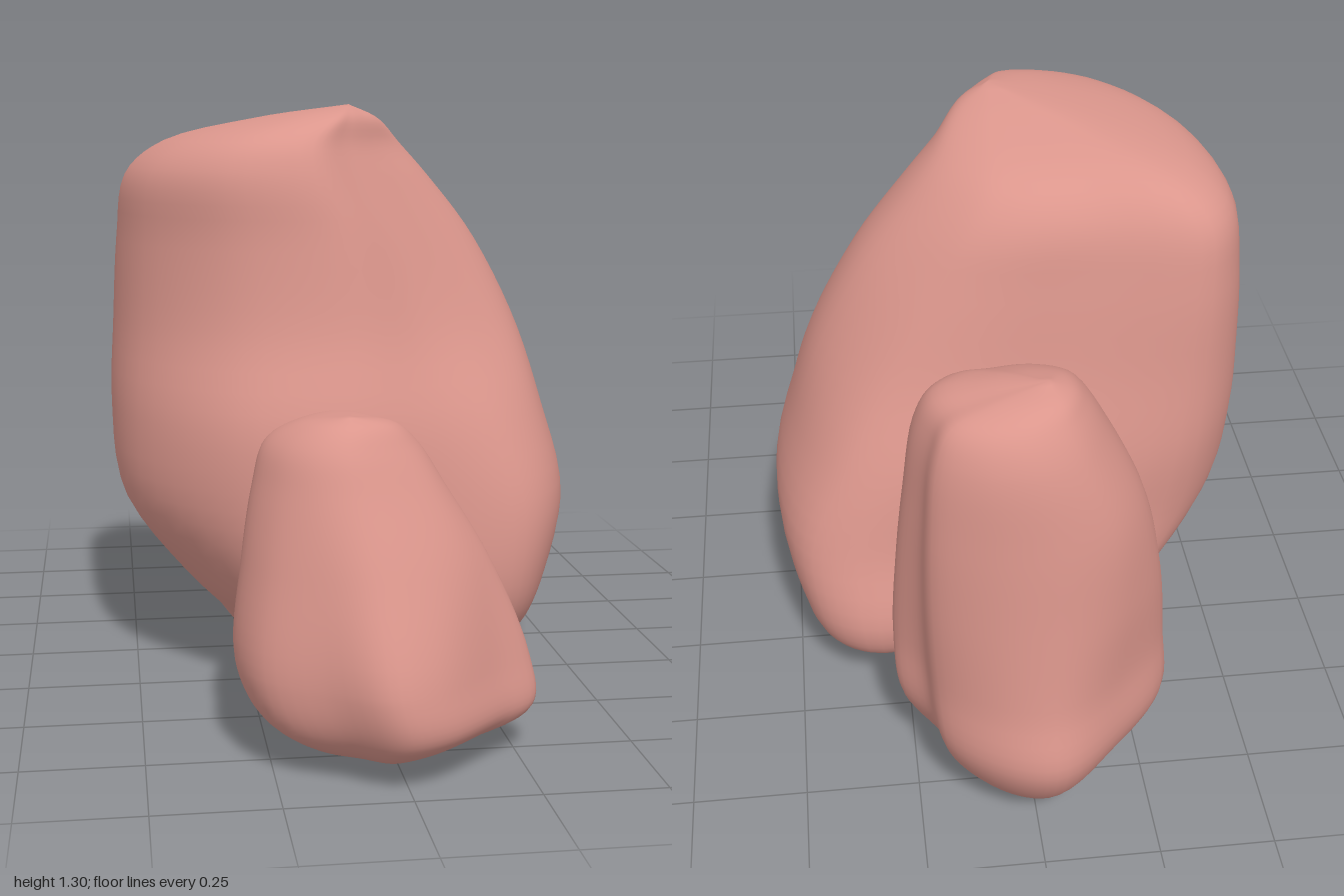
import * as THREE from 'three';
import { mergeVertices } from 'three/addons/utils/BufferGeometryUtils.js';

const AROUND = 64, UP = 56;
const material = new THREE.MeshStandardMaterial({ color: 0xdb968c });

// Scale an [x, z] outline to the unit square, so each level can stretch it
function normalise(outline) {
  const xs = outline.map(p => p[0]), zs = outline.map(p => p[1]);
  const x0 = Math.min(...xs), x1 = Math.max(...xs), z0 = Math.min(...zs), z1 = Math.max(...zs);
  return outline.map(([x, z]) => [(x - x0) / (x1 - x0), (z - z0) / (z1 - z0)]);
}

// Loft a rock: outlines run counter-clockwise seen from above, starting at the front.
// Levels are [y, xMin, xMax, zMin, zMax]; bottom and top are closing points.
function rock(name, { foot, crown, levels, bottom, top }) {
  const a = normalise(foot), b = normalise(crown);
  const height = top[1];
  const rings = levels.map(([y, x0, x1, z0, z1]) => {
    const k = THREE.MathUtils.smoothstep(y / height, 0.2, 0.8);
    const pts = a.map((p, i) => new THREE.Vector3(
      x0 + (x1 - x0) * THREE.MathUtils.lerp(p[0], b[i][0], k), y,
      z0 + (z1 - z0) * THREE.MathUtils.lerp(p[1], b[i][1], k)));
    return new THREE.CatmullRomCurve3(pts, true);
  });

  // One vertical curve per column, through every level
  const pos = [], index = [];
  for (let i = 0; i < AROUND; i++) {
    const column = new THREE.CatmullRomCurve3([
      new THREE.Vector3(...bottom),
      ...rings.map(r => r.getPoint(i / AROUND)),
      new THREE.Vector3(...top)]);
    for (let j = 0; j <= UP; j++) pos.push(...column.getPoint(j / UP).toArray());
  }
  const at = (i, j) => (i % AROUND) * (UP + 1) + j;
  for (let i = 0; i < AROUND; i++) {
    for (let j = 0; j < UP; j++) {
      if (j > 0) index.push(at(i, j), at(i + 1, j), at(i + 1, j + 1));
      if (j < UP - 1) index.push(at(i, j), at(i + 1, j + 1), at(i, j + 1));
      else index.push(at(i, j), at(i + 1, j), at(i, j + 1));
    }
  }
  let geometry = new THREE.BufferGeometry();
  geometry.setAttribute('position', new THREE.Float32BufferAttribute(pos, 3));
  geometry.setIndex(index);
  geometry = mergeVertices(geometry, 1e-5);
  geometry.computeVertexNormals();
  const mesh = new THREE.Mesh(geometry, material);
  mesh.name = name;
  return mesh;
}

export function createModel() {
  const group = new THREE.Group();
  group.name = 'rockCluster';

  // Large middle boulder with a bevelled front-left corner and a sloping crown
  group.add(rock('largeRock', {
    foot: [[-0.08, 0.46], [0.2, 0.41], [0.38, 0.37], [0.48, 0.22], [0.535, -0.13], [0.49, -0.42],
      [0.36, -0.5], [0.08, -0.48], [-0.38, -0.42], [-0.525, -0.2], [-0.51, 0.14], [-0.3, 0.41]],
    crown: [[-0.05, 0.345], [0.08, 0.25], [0.2, 0.13], [0.3, 0.01], [0.31, -0.13], [0.18, -0.27],
      [0.06, -0.31], [-0.15, -0.32], [-0.43, -0.34], [-0.52, -0.23], [-0.485, 0.1], [-0.29, 0.31]],
    bottom: [0.08, 0, 0.08],
    levels: [
      [0.02, -0.17, 0.33, -0.01, 0.17],
      [0.08, -0.26, 0.43, -0.34, 0.33],
      [0.13, -0.3, 0.46, -0.46, 0.41],
      [0.22, -0.385, 0.495, -0.49, 0.45],
      [0.4, -0.51, 0.535, -0.45, 0.455],
      [0.6, -0.535, 0.485, -0.43, 0.45],
      [0.8, -0.53, 0.42, -0.385, 0.38],
      [1.0, -0.52, 0.315, -0.355, 0.345],
      [1.14, -0.5, 0.205, -0.325, 0.33],
      [1.215, -0.42, 0.135, -0.26, 0.3],
      [1.275, -0.2, 0.07, -0.06, 0.22]],
    top: [0, 1.305, 0.1],
  }));

  // Short rock in front
  group.add(rock('frontRock', {
    foot: [[-0.04, 1], [0.06, 0.97], [0.2, 0.84], [0.29, 0.75], [0.27, 0.69], [0.1, 0.56],
      [0, 0.46], [-0.13, 0.44], [-0.25, 0.56], [-0.315, 0.68], [-0.28, 0.84], [-0.15, 0.93]],
    crown: [[-0.1, 0.82], [-0.01, 0.79], [0.05, 0.74], [0.07, 0.67], [0.03, 0.6], [-0.01, 0.52],
      [-0.05, 0.46], [-0.13, 0.45], [-0.21, 0.53], [-0.26, 0.64], [-0.23, 0.74], [-0.17, 0.8]],
    bottom: [-0.02, 0.02, 0.78],
    levels: [
      [0.045, -0.17, 0.14, 0.64, 0.92],
      [0.1, -0.27, 0.285, 0.5, 0.99],
      [0.2, -0.315, 0.28, 0.44, 1],
      [0.4, -0.3, 0.2, 0.44, 0.925],
      [0.55, -0.275, 0.11, 0.44, 0.86],
      [0.63, -0.25, 0.06, 0.45, 0.825],
      [0.675, -0.19, 0.01, 0.56, 0.79]],
    top: [-0.09, 0.697, 0.75],
  }));

  // Tall slab-like rock behind, broad almost to its crown
  group.add(rock('backRock', {
    foot: [[-0.07, -0.43], [0.1, -0.5], [0.18, -0.56], [0.27, -0.62], [0.29, -0.69], [0.23, -0.78],
      [0.2, -0.88], [0.08, -0.98], [-0.03, -1], [-0.16, -0.9], [-0.29, -0.73], [-0.2, -0.5]],
    crown: [[-0.05, -0.58], [0.08, -0.59], [0.17, -0.6], [0.23, -0.65], [0.24, -0.71], [0.215, -0.79],
      [0.2, -0.86], [0.1, -0.92], [-0.03, -0.93], [-0.14, -0.88], [-0.2, -0.76], [-0.17, -0.63]],
    bottom: [0, 0.02, -0.73],
    levels: [
      [0.05, -0.14, 0.14, -0.85, -0.6],
      [0.11, -0.23, 0.22, -0.92, -0.44],
      [0.25, -0.29, 0.28, -1, -0.44],
      [0.4, -0.285, 0.29, -0.975, -0.46],
      [0.6, -0.265, 0.28, -0.955, -0.53],
      [0.8, -0.22, 0.26, -0.94, -0.58],
      [0.97, -0.14, 0.235, -0.92, -0.605],
      [1.04, -0.1, 0.2, -0.89, -0.64],
      [1.075, -0.07, 0.11, -0.85, -0.7]],
    top: [-0.02, 1.097, -0.78],
  }));

  return group;
}
